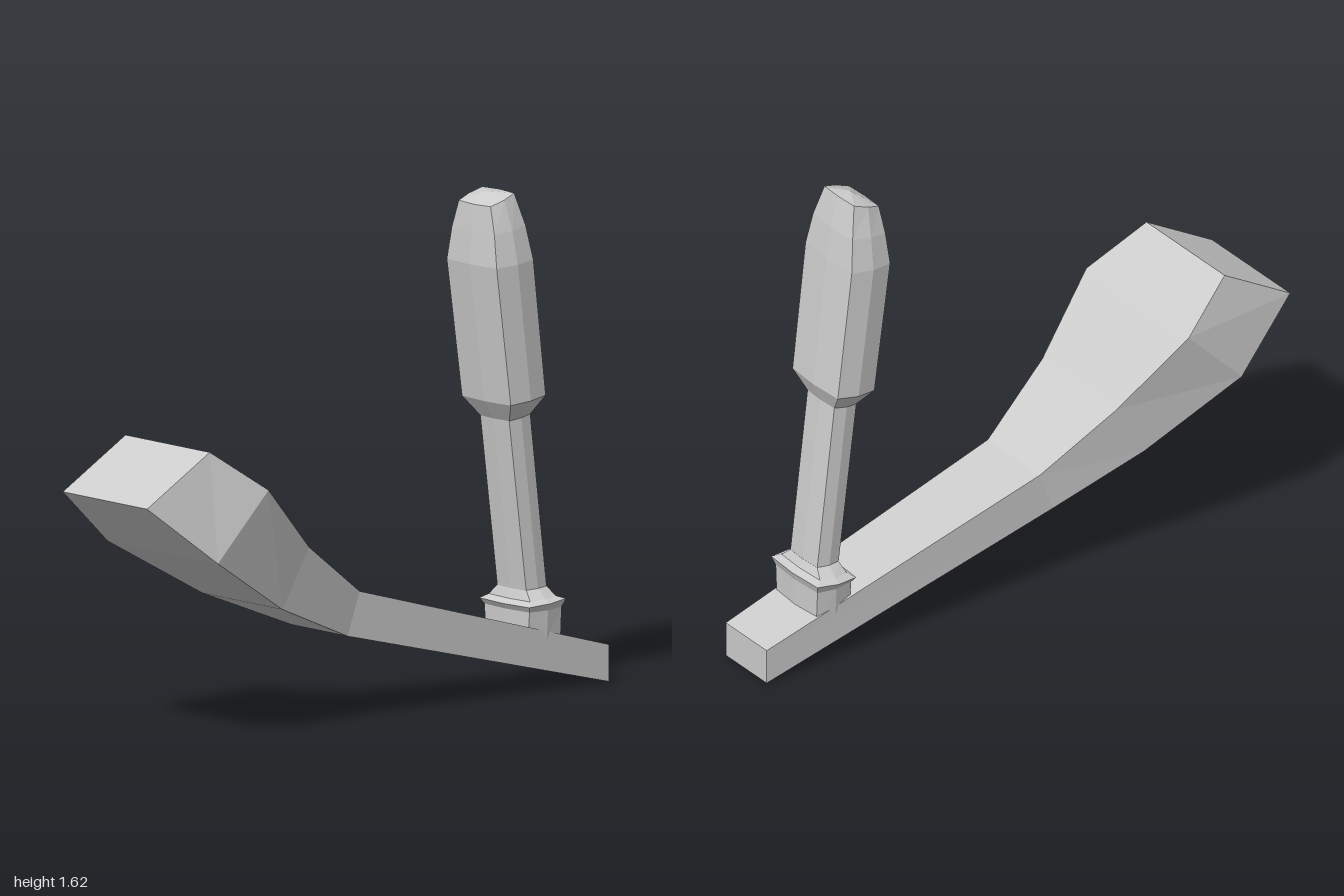
import * as THREE from 'three';

const material = new THREE.MeshStandardMaterial({ color: 0xcccccc, flatShading: true });

// Skins a list of rings (counter-clockwise around the travel direction) and closes both ends.
function loft(name, rings, tip) {
  const pos = [];
  const tri = (...pts) => pts.forEach((p) => pos.push(...p));
  const centre = (r) => [0, 1, 2].map((k) => r.reduce((s, p) => s + p[k], 0) / r.length);
  const n = rings[0].length;
  for (let i = 0; i < rings.length - 1; i++) {
    for (let j = 0; j < n; j++) {
      const k = (j + 1) % n;
      const [a, b] = [rings[i], rings[i + 1]];
      tri(a[j], a[k], b[k]);
      tri(a[j], b[k], b[j]);
    }
  }
  const first = rings[0], last = rings[rings.length - 1];
  const c0 = centre(first), c1 = tip || centre(last);
  for (let j = 0; j < n; j++) {
    const k = (j + 1) % n;
    tri(c0, first[k], first[j]);
    tri(c1, last[j], last[k]);
  }
  const geo = new THREE.BufferGeometry();
  geo.setAttribute('position', new THREE.Float32BufferAttribute(pos, 3));
  geo.computeVertexNormals();
  const mesh = new THREE.Mesh(geo, material);
  mesh.name = name;
  return mesh;
}

// Rectangular section between a lower and an upper point, half width w.
const beamRing = ([bx, by, tx, ty, w]) =>
  [[bx, by, -w], [bx, by, w], [tx, ty, w], [tx, ty, -w]];

// Slightly bulged rectangle between a left and a right point, half width w.
function armRing([lx, ly, rx, ry, w]) {
  const mx = (lx + rx) / 2, my = (ly + ry) / 2;
  const at = (s, z) => [mx + (rx - mx) * s, my + (ry - my) * s, z * w];
  return [at(1, 0), at(0.9, -0.9), at(0, -1), at(-0.9, -0.9),
    at(-1, 0), at(-0.9, 0.9), at(0, 1), at(0.9, 0.9)];
}

export function createModel() {
  const group = new THREE.Group();
  group.name = 'pedalLever';

  // bent beam, from the thin end to the broad end
  group.add(loft('beam', [
    [1, 0.005, 1, 0.125, 0.11],
    [-0.11, 0.28, -0.06, 0.42, 0.14],
    [-0.43, 0.41, -0.32, 0.60, 0.2],
    [-0.76, 0.605, -0.55, 0.82, 0.275],
    [-1, 0.80, -0.74, 0.955, 0.21],
  ].map(beamRing)));

  // block seated on the beam
  group.add(loft('base', [
    [0.66, 0.19, 0.808, 0.15, 0.118],
    [0.66, 0.265, 0.808, 0.27, 0.125],
    [0.648, 0.283, 0.818, 0.298, 0.138],
    [0.672, 0.297, 0.79, 0.307, 0.115],
    [0.683, 0.33, 0.777, 0.335, 0.08],
  ].map(armRing)));

  // slim stem
  group.add(loft('stem', [
    [0.683, 0.325, 0.777, 0.33, 0.08],
    [0.612, 0.885, 0.709, 0.90, 0.08],
  ].map(armRing)));

  // broad grip with tapered, domed top
  group.add(loft('grip', [
    [0.612, 0.885, 0.709, 0.90, 0.08],
    [0.574, 0.945, 0.735, 0.965, 0.135],
    [0.513, 1.395, 0.682, 1.41, 0.138],
    [0.52, 1.50, 0.664, 1.52, 0.118],
    [0.528, 1.588, 0.637, 1.625, 0.088],
  ].map(armRing), [0.585, 1.625, 0]));

  return group;
}
